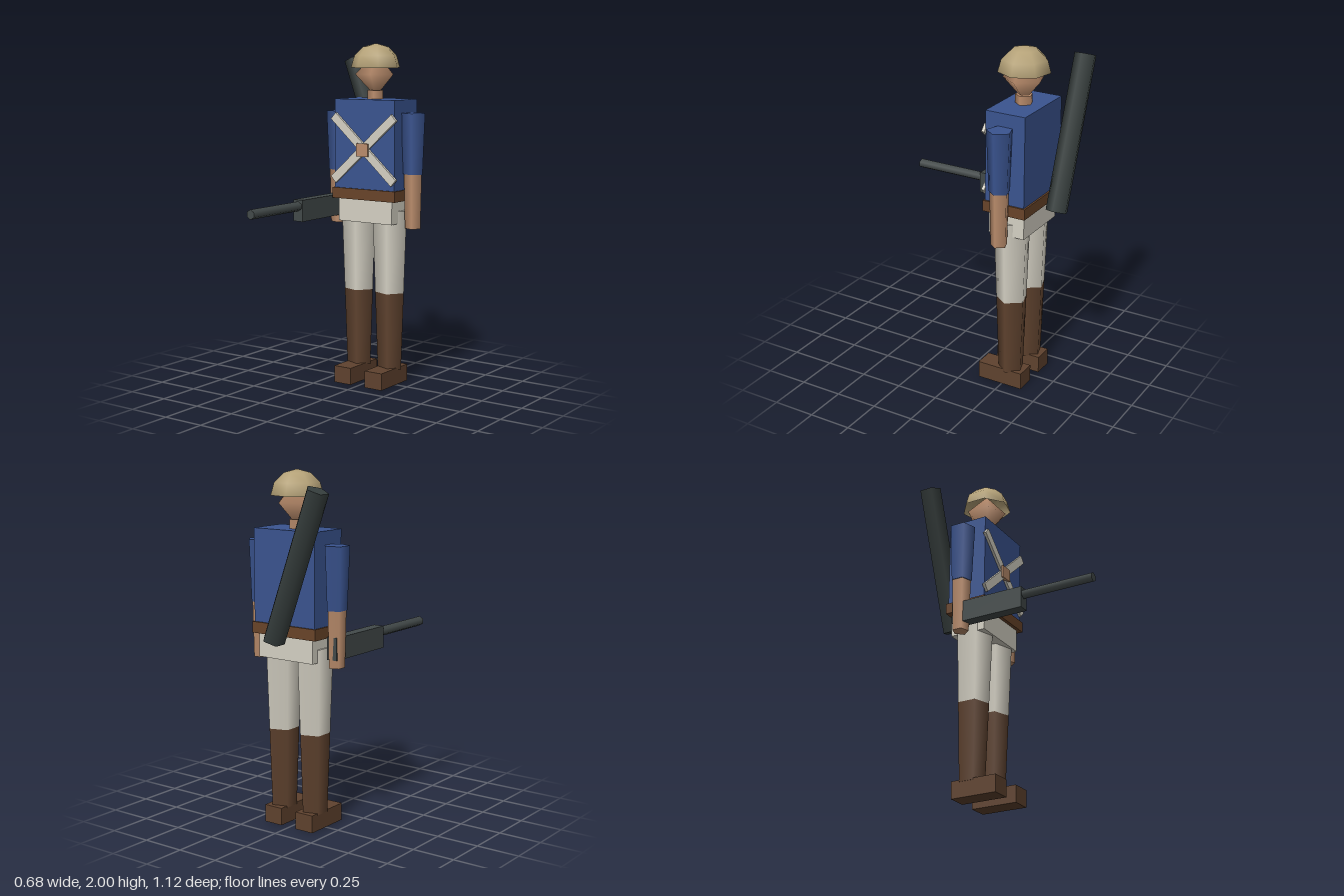
import * as THREE from 'three';

export function createModel() {
  const root = new THREE.Group();
  root.name = 'soldier';

  const mat = (name, color, side = THREE.FrontSide) => {
    const m = new THREE.MeshStandardMaterial({ color, side });
    m.name = name;
    return m;
  };
  const blue = mat('tunicBlue', 0x3a5490);
  const skin = mat('skin', 0xbb8d6c);
  const cream = mat('trouserCream', 0xd5d1c4);
  const leather = mat('bootLeather', 0x5f422e);
  const beltBrown = mat('beltBrown', 0x694429);
  const khaki = mat('helmetKhaki', 0xb5a278, THREE.DoubleSide);
  const gunGrey = mat('gunMetal', 0x434a4a);
  const tubeGrey = mat('tubeGrey', 0x363e3d);

  const CX = 0.004, CZ = -0.28; // body axis

  const add = (name, geo, material, x, y, z) => {
    const mesh = new THREE.Mesh(geo, material);
    mesh.name = name;
    mesh.position.set(x, y, z);
    root.add(mesh);
    return mesh;
  };
  const box = (name, m, w, h, d, x, y, z) =>
    add(name, new THREE.BoxGeometry(w, h, d), m, x, y, z);
  // Five-sided tapered limb with one corner towards +x
  const limb = (name, m, rTop, rBottom, yTop, yBottom, x) =>
    add(name, new THREE.CylinderGeometry(rTop, rBottom, yTop - yBottom, 5, 1, false, Math.PI / 2),
      m, x, (yTop + yBottom) / 2, CZ);

  // Trunk
  box('torso', blue, 0.415, 0.52, 0.24, CX, 1.42, CZ);
  box('belt', beltBrown, 0.435, 0.063, 0.26, CX, 1.13, CZ);
  box('hips', cream, 0.37, 0.135, 0.22, CX, 1.032, CZ);

  // Crossed chest straps and buckle
  for (const s of [-1, 1]) {
    box('chestStrap', cream, 0.56, 0.05, 0.018, CX, 1.395, -0.154).rotation.z = s * 0.73;
  }
  box('buckle', skin, 0.078, 0.076, 0.027, CX, 1.39, -0.1485);

  // Neck, faceted head and helmet
  limb('neck', skin, 0.05, 0.05, 1.73, 1.67, CX);
  const head = new THREE.SphereGeometry(0.12, 5, 2);
  head.scale(1, 1.08, 1);
  add('head', head, skin, CX, 1.822, CZ).rotation.y = Math.PI;
  const helmet = new THREE.SphereGeometry(0.147, 7, 3, 0, Math.PI * 2, 0, Math.PI / 2);
  helmet.scale(1, 0.95, 1);
  add('helmet', helmet, khaki, CX, 1.86, CZ).rotation.y = Math.PI;

  // Arms and legs
  for (const s of [-1, 1]) {
    const side = s > 0 ? 'left' : 'right';
    const ax = CX + s * 0.262, lx = CX + s * 0.109;
    limb(side + 'Sleeve', blue, 0.074, 0.06, 1.605, 1.255, ax);
    limb(side + 'Forearm', skin, 0.055, 0.048, 1.256, 0.94, ax);
    limb(side + 'TrouserLeg', cream, 0.108, 0.091, 1.038, 0.55, lx);
    limb(side + 'Boot', leather, 0.091, 0.075, 0.551, 0.09, lx);
    box(side + 'Shoe', leather, 0.117, 0.1, 0.28, lx, 0.05, -0.235);
  }

  // Gun held forward in the right hand
  box('gunBody', gunGrey, 0.064, 0.125, 0.45, -0.257, 1.048, -0.095);
  add('gunBarrel', new THREE.CylinderGeometry(0.028, 0.028, 0.45, 6), gunGrey, -0.257, 1.073, 0.335)
    .rotation.x = Math.PI / 2;

  // Slanted tube behind the back
  const tube = add('backTube',
    new THREE.CylinderGeometry(0.064, 0.064, 0.875, 5, 1, false, Math.PI / 2),
    tubeGrey, -0.145, 1.499, -0.496);
  tube.rotation.z = 0.349;

  return root;
}
